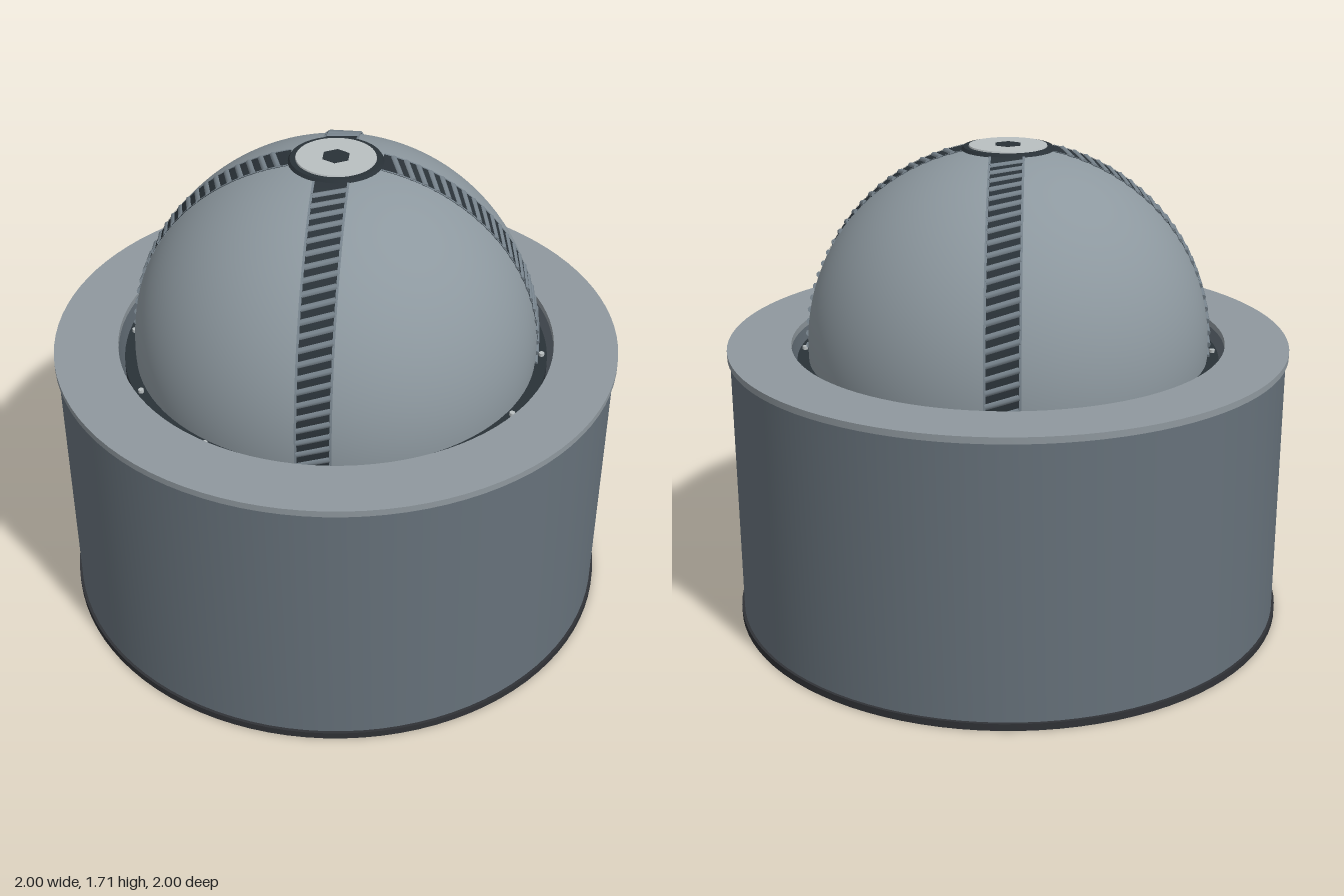
import * as THREE from 'three';
import { toCreasedNormals, mergeGeometries } from 'three/addons/utils/BufferGeometryUtils.js';

const mat = (name, color) => {
  const m = new THREE.MeshStandardMaterial({ color });
  m.name = name;
  return m;
};

export function createModel() {
  const M = {
    body: mat('slate body', 0x66717a),
    rim: mat('light grey rim', 0x8f989e),
    ball: mat('ball grey', 0x8d989f),
    base: mat('charcoal base', 0x303236),
    floor: mat('black floor', 0x161b1e),
    dark: mat('dark steel', 0x2a3238),
    ridge: mat('ridge grey', 0x77838c),
    steel: mat('pale steel', 0xb9bfc1),
  };
  const model = new THREE.Group();
  model.name = 'ballInSocket';

  const add = (name, geometry, material, parent = model) => {
    const mesh = new THREE.Mesh(geometry, material);
    mesh.name = name;
    parent.add(mesh);
    return mesh;
  };
  // Closed ring with a rectangular section
  const ring = (inner, outer, y0, y1) => toCreasedNormals(new THREE.LatheGeometry(
    [[inner, y0], [outer, y0], [outer, y1], [inner, y1], [inner, y0]]
      .map(([r, y]) => new THREE.Vector2(r, y)), 96), 0.6);

  // Socket: base ring, thick tube and top rim
  add('baseRing', ring(0.775, 1, 0, 0.025), M.base);
  add('socketTube', ring(0.775, 0.99, 0.025, 0.992), M.body);
  add('topRim', ring(0.775, 1, 0.992, 1.015), M.rim);

  // Floor ring with its raised inner cup, separated from the socket by a gap
  add('floorRing', ring(0.55, 0.755, 0, 0.02), M.floor);
  add('floorCollar', ring(0.55, 0.755, 0.02, 0.08), M.dark);
  add('cupWall', ring(0.725, 0.755, 0.08, 0.29), M.dark);
  add('paleSeal', ring(0.715, 0.727, 0.185, 0.205), M.steel);

  // Bolted collar around the ball
  add('ballCollar', ring(0.7, 0.755, 0.92, 0.96), M.dark);
  for (let i = 0; i < 12; i++) {
    const a = i * Math.PI / 6;
    const bolt = add('collarBolt', new THREE.CylinderGeometry(0.01, 0.01, 0.012, 8), M.steel);
    bolt.position.set(0.735 * Math.sin(a), 0.966, 0.735 * Math.cos(a));
  }

  // Ball, open at the poles under the caps
  const ball = new THREE.Group();
  ball.name = 'ball';
  ball.position.y = 1;
  model.add(ball);
  add('ballShell', new THREE.SphereGeometry(0.715, 96, 64, 0, Math.PI * 2, 0.2, Math.PI - 0.4), M.ball, ball);

  // Meridian bands: dark strip, two edge rails, slanted ridges
  const arc = (radius, width, x = 0) => new THREE.CylinderGeometry(
    radius, radius, width, 72, 1, true, -Math.PI / 2 + 0.22, Math.PI - 0.44)
    .rotateZ(Math.PI / 2).translate(x, 0, 0);
  const ridges = [];
  const count = 42;
  for (let i = 0; i < count; i++) {
    const lat = -1.28 + 2.56 * i / (count - 1);
    ridges.push(new THREE.CylinderGeometry(0.012, 0.012, 0.114, 8)
      .rotateZ(-Math.PI / 2 + 0.3).translate(0, 0, 0.711).rotateX(-lat));
  }
  const strip = arc(0.716, 0.12);
  const rails = mergeGeometries([arc(0.718, 0.008, -0.057), arc(0.718, 0.008, 0.057)]);
  const ridgeSet = mergeGeometries(ridges);
  for (let i = 0; i < 4; i++) {
    const band = new THREE.Group();
    band.name = 'ridgedBand';
    band.rotation.y = i * Math.PI / 2;
    ball.add(band);
    add('bandStrip', strip, M.dark, band);
    add('bandRails', rails, M.ridge, band);
    add('bandRidges', ridgeSet, M.ridge, band);
  }

  // Pole caps, top and bottom
  for (const flip of [0, Math.PI]) {
    const cap = new THREE.Group();
    cap.name = 'poleCap';
    cap.rotation.x = flip;
    ball.add(cap);
    add('capRing', new THREE.CylinderGeometry(0.155, 0.175, 0.03, 48), M.dark, cap).position.y = 0.692;
    add('capPlate', new THREE.CylinderGeometry(0.135, 0.142, 0.02, 48), M.steel, cap).position.y = 0.702;
    add('capHexSocket', new THREE.CylinderGeometry(0.05, 0.05, 0.004, 6), M.dark, cap).position.y = 0.7115;
  }

  // Four diagonal posts with pale clips below the ball
  for (let i = 0; i < 4; i++) {
    const support = new THREE.Group();
    support.name = 'support';
    support.rotation.y = Math.PI / 4 + i * Math.PI / 2;
    model.add(support);
    add('supportPost', new THREE.BoxGeometry(0.13, 0.33, 0.08), M.dark, support).position.set(0, 0.4, 0.66);
    add('supportClip', new THREE.BoxGeometry(0.23, 0.08, 0.05), M.steel, support).position.set(0, 0.5, 0.66);
  }
  return model;
}
